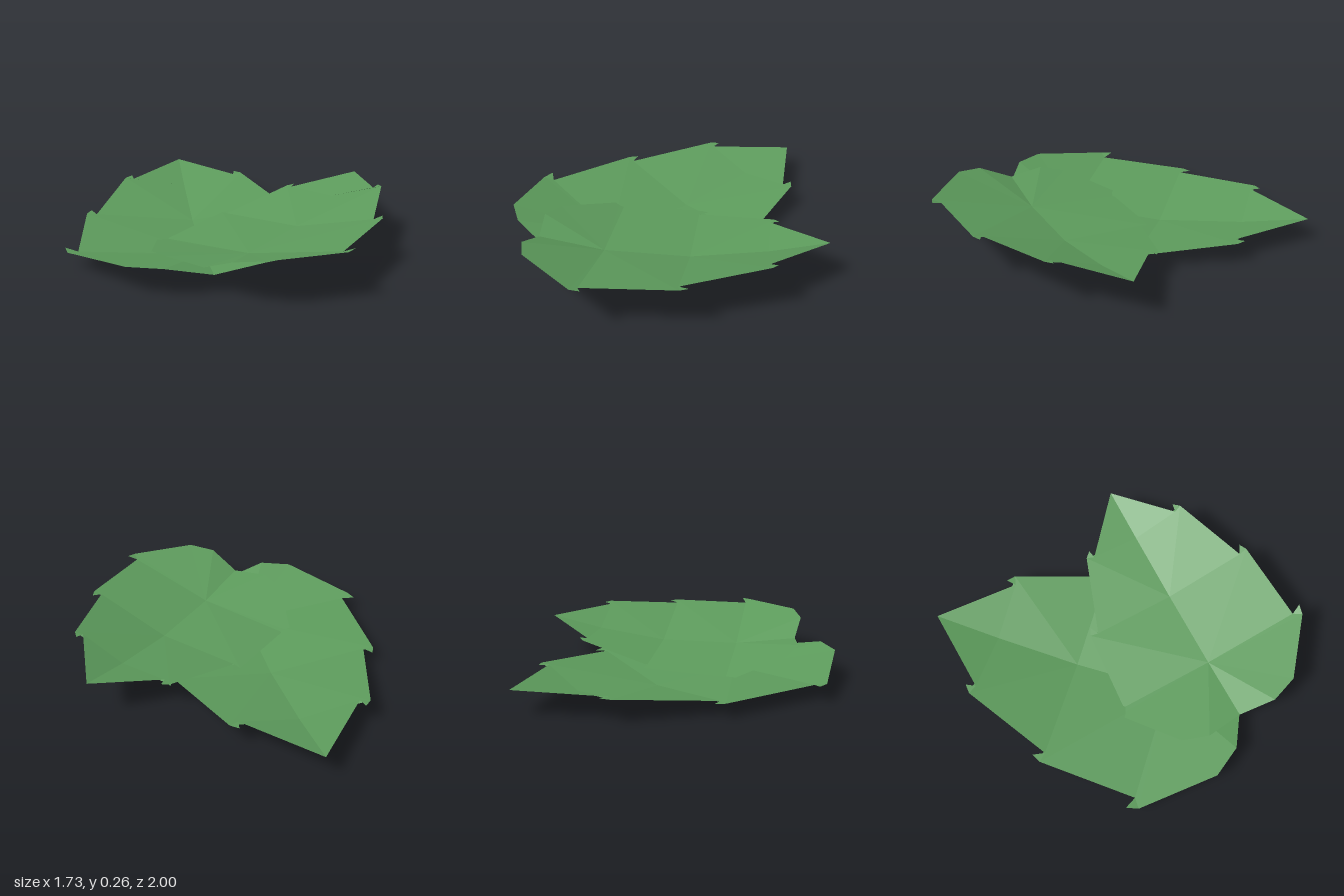
import * as THREE from 'three';

// Points are [half width, height, distance from tip].
const rib = [[0, 0.125, 0], [0, 0.055, 0.36], [0, 0, 0.835], [0, 0.02, 1.37], [0, 0.095, 1.78]];
// Each serration: inner notch, spike, outer shoulder.
const teeth = [
  [[0.32, 0.115, 0.355], [0.33, 0.12, 0.3], [0.37, 0.118, 0.335]],
  [[0.55, 0.068, 0.835], [0.58, 0.072, 0.775], [0.605, 0.072, 0.825]],
  [[0.635, 0.075, 1.37], [0.7, 0.088, 1.34], [0.685, 0.087, 1.405]],
];
const lobe = [[0.405, 0.15, 1.75], [0.235, 0.155, 1.81]]; // rounded base of each half

// Half a blade: side +1 or -1
function halfBlade(side) {
  const pos = [];
  const tri = (a, b, c) => {
    for (const p of side > 0 ? [a, b, c] : [a, c, b]) pos.push(side * p[0], p[1], p[2]);
  };
  tri(rib[0], rib[1], teeth[0][0]);
  teeth.forEach(([notch, spike, shoulder], i) => {
    const mid = rib[i + 1];
    tri(mid, shoulder, notch);
    tri(notch, shoulder, spike);
    if (i < 2) {
      tri(mid, rib[i + 2], shoulder);
      tri(rib[i + 2], teeth[i + 1][0], shoulder);
    }
  });
  tri(rib[3], rib[4], lobe[1]);
  tri(rib[3], lobe[1], lobe[0]);
  tri(rib[3], lobe[0], teeth[2][2]);
  const geo = new THREE.BufferGeometry();
  geo.setAttribute('position', new THREE.Float32BufferAttribute(pos, 3));
  geo.computeVertexNormals();
  return geo;
}

export function createModel() {
  const green = new THREE.MeshStandardMaterial({ color: 0x5c9a5b, flatShading: true, side: THREE.DoubleSide });
  green.name = 'leaf green';

  const makeLeaf = (name) => {
    const leaf = new THREE.Group();
    leaf.name = name;
    for (const side of [1, -1]) {
      const half = new THREE.Mesh(halfBlade(side), green);
      half.name = side > 0 ? 'leftBlade' : 'rightBlade';
      leaf.add(half);
    }
    return leaf;
  };

  // Large leaf lying level
  const lower = makeLeaf('lowerLeaf');
  lower.position.set(-0.165, 0, -1);

  // Smaller leaf turned and tilted over it
  const upper = makeLeaf('upperLeaf');
  upper.scale.setScalar(0.845);
  upper.rotation.set(0.035, -Math.PI / 4, 0.192, 'YXZ');
  upper.position.set(0.862, 0.112, -0.27);

  const model = new THREE.Group();
  model.name = 'leafPair';
  model.add(lower, upper);
  return model;
}
